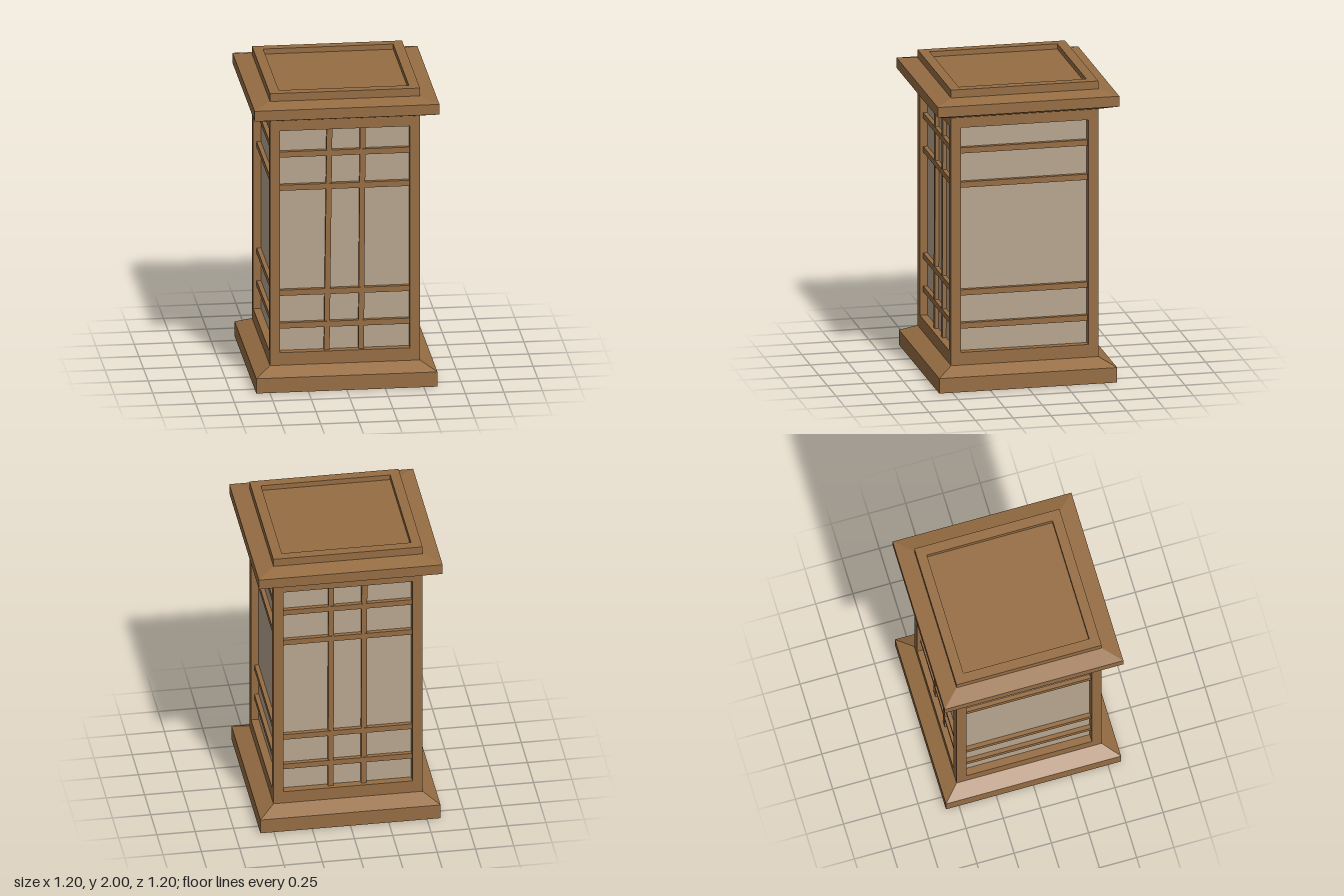
import * as THREE from 'three';

const wood = new THREE.MeshStandardMaterial({ name: 'wood', color: 0x966d43 });
const paper = new THREE.MeshStandardMaterial({ name: 'paper', color: 0xb7a58f });

function add(parent, name, geometry, material, x = 0, y = 0, z = 0) {
  const mesh = new THREE.Mesh(geometry, material);
  mesh.name = name;
  mesh.position.set(x, y, z);
  parent.add(mesh);
  return mesh;
}

// Four-sided turned form from [half width, height] pairs, with flat faces
function squareLathe(profile) {
  const points = profile.map(([half, y]) => new THREE.Vector2(half * Math.SQRT2, y));
  const geometry = new THREE.LatheGeometry(points, 4, Math.PI / 4).toNonIndexed();
  geometry.computeVertexNormals();
  return geometry;
}

// Rails, horizontal bars and optional upright bars for one side, facing +z
function makeSide(name, barHeights, uprights) {
  const side = new THREE.Group();
  side.name = name;
  add(side, 'bottomRail', new THREE.BoxGeometry(0.842, 0.086, 0.066), wood, 0, 0.194, 0.454);
  add(side, 'topRail', new THREE.BoxGeometry(0.842, 0.071, 0.066), wood, 0, 1.779, 0.454);
  // Bars sit a little behind the face of the frame
  for (const y of barHeights) {
    add(side, 'crossBar', new THREE.BoxGeometry(0.842, 0.038, 0.035), wood, 0, y, 0.4475);
  }
  // Uprights lean a little from bottom x to top x
  for (const [bottom, top] of uprights) {
    const geometry = new THREE.BoxGeometry(0.036, 1.507, 0.033);
    const p = geometry.attributes.position;
    for (let i = 0; i < p.count; i++) {
      p.setX(i, p.getX(i) + (p.getY(i) > 0 ? top : bottom));
    }
    add(side, 'uprightBar', geometry, wood, 0, 0.99, 0.4455);
  }
  return side;
}

export function createModel() {
  const lantern = new THREE.Group();
  lantern.name = 'lantern';

  // Base, with a sloped hollow underneath
  add(lantern, 'base', squareLathe([
    [0, 0.09], [0.488, 0.09], [0.588, 0], [0.588, 0.1], [0.487, 0.152], [0, 0.152],
  ]), wood);

  // Roof with sloped eaves and a sunken top
  add(lantern, 'roof', squareLathe([
    [0, 1.813], [0.487, 1.813], [0.6, 1.853], [0.6, 1.922], [0.487, 1.947],
    [0.487, 2], [0.422, 2], [0.422, 1.965], [0, 1.965],
  ]), wood);

  // Paper screens
  add(lantern, 'paperScreens', new THREE.BoxGeometry(0.874, 1.66, 0.874), paper, 0, 0.982, 0);

  // Corner posts
  for (const x of [-1, 1]) {
    for (const z of [-1, 1]) {
      add(lantern, 'cornerPost', new THREE.BoxGeometry(0.066, 1.663, 0.066), wood, x * 0.454, 0.982, z * 0.454);
    }
  }

  // Four sides; only front and back carry uprights
  const frontBars = [0.4125, 0.635, 1.349, 1.575];
  const sideBars = [0.409, 0.631, 1.354, 1.584];
  const sides = [
    ['frontSide', frontBars, [[-0.115, -0.097], [0.108, 0.119]]],
    ['leftSide', sideBars, []],
    ['backSide', frontBars, [[-0.108, -0.105], [0.108, 0.112]]],
    ['rightSide', sideBars, []],
  ];
  sides.forEach(([name, bars, uprights], i) => {
    const side = makeSide(name, bars, uprights);
    side.rotation.y = i * Math.PI / 2;
    lantern.add(side);
  });

  return lantern;
}
